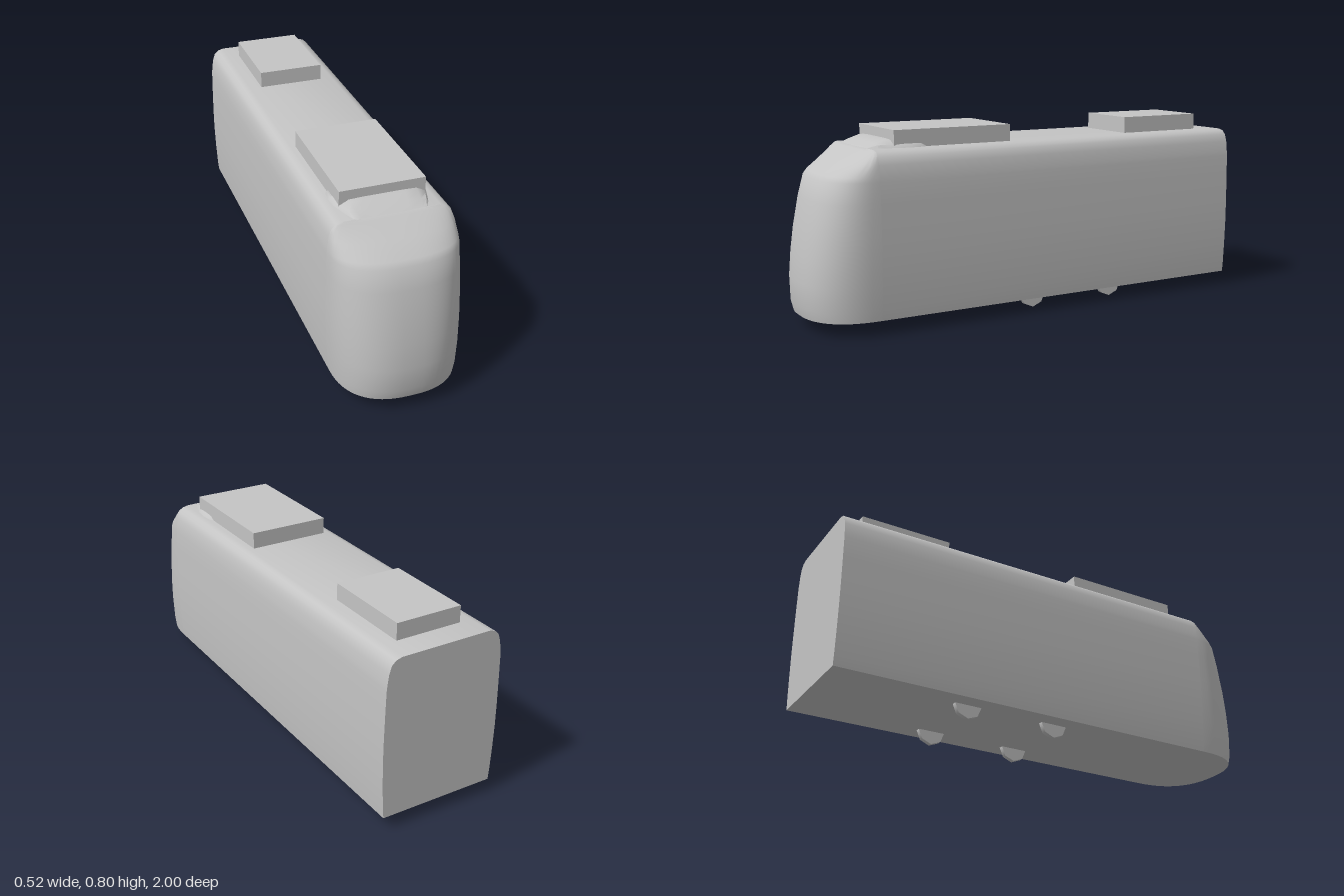
import * as THREE from 'three';
import { toCreasedNormals } from 'three/addons/utils/BufferGeometryUtils.js';

const grey = new THREE.MeshStandardMaterial({ color: 0xc4c4c4 });
grey.name = 'bodyGrey';

const FLOOR = 0.057, ROOF = 0.725, SEAM = 0.735;

// Half cross-section of the body: [half width, height]
const SECTION = [
  [0.248, FLOOR], [0.252, 0.1], [0.257, 0.2], [0.26, 0.3], [0.26, 0.4], [0.258, 0.52],
  [0.256, 0.605], [0.254, 0.625], [0.248, 0.67], [0.237, 0.702], [0.22, 0.718], [0.195, ROOF],
];
// Foremost z of the nose at each of those heights
const NOSE_Z = [0.987, 0.998, 1, 0.99, 0.975, 0.949, 0.923, 0.905, 0.832, 0.779, 0.752, 0.74];

function add(group, name, geometry) {
  const mesh = new THREE.Mesh(geometry, grey);
  mesh.name = name;
  group.add(mesh);
  return mesh;
}

// Skin over rows of equally many points, running left to right
function loft(rows, crease) {
  const n = rows[0].length, index = [];
  for (let i = 0; i < rows.length - 1; i++) {
    for (let j = 0; j < n - 1; j++) {
      const a = i * n + j, b = a + n;
      index.push(a, a + 1, b + 1, a, b + 1, b);
    }
  }
  const geo = new THREE.BufferGeometry();
  geo.setAttribute('position', new THREE.Float32BufferAttribute(rows.flat(2), 3));
  geo.setIndex(index);
  return toCreasedNormals(geo, crease);
}

// Long straight car body
function bodyGeometry() {
  const right = SECTION.map(([x, y]) => new THREE.Vector2(x, y));
  const left = SECTION.map(([x, y]) => new THREE.Vector2(-x, y)).reverse();
  const geo = new THREE.ExtrudeGeometry(new THREE.Shape([...right, ...left]), {
    depth: 1 + SEAM, bevelEnabled: false,
  });
  geo.translate(0, 0, -1);
  return toCreasedNormals(geo, 0.7);
}

// Rounded nose: a superellipse plan at each height, closed below and above
function noseGeometry() {
  const steps = 32, power = 2 / 2.5;
  const rows = SECTION.map(([w, y], i) => {
    const row = [];
    for (let j = 0; j <= steps; j++) {
      const t = (Math.PI * j) / steps, c = Math.cos(t);
      const x = -Math.sign(c) * w * Math.abs(c) ** power;
      const z = SEAM + (NOSE_Z[i] - SEAM) * Math.max(0, Math.sin(t)) ** power;
      row.push([x, y, z]);
    }
    return row;
  });
  const flatten = (row) => row.map(([x, y]) => [x, y, SEAM]);
  return loft([flatten(rows[0]), ...rows, flatten(rows[rows.length - 1])], 0.6);
}

// Low hump that carries the windscreen slope onto the roof
function fairingGeometry() {
  const stations = [ // z, half base, half top, top height
    [0.74, 0.15, 0.12, 0.725], [0.7, 0.165, 0.13, 0.744], [0.66, 0.178, 0.135, 0.756],
    [0.62, 0.19, 0.138, 0.758], [0.57, 0.195, 0.14, 0.754], [0.52, 0.19, 0.135, 0.742],
    [0.49, 0.175, 0.12, 0.72],
  ];
  const rows = stations.map(([z, b, t, top]) => {
    const shoulder = Math.min(top, 0.737);
    const half = [[b, 0.72], [b - 0.012, shoulder], [t, top - 0.002], [t * 0.6, top]];
    return [
      ...half.map(([x, y]) => [-x, y, z]),
      ...half.reverse().map(([x, y]) => [x, y, z]),
    ];
  });
  return loft(rows, 0.7);
}

export function createModel() {
  const tram = new THREE.Group();
  tram.name = 'tramCar';

  add(tram, 'body', bodyGeometry());
  add(tram, 'nose', noseGeometry());
  add(tram, 'roofFairing', fairingGeometry());

  // Roof equipment boxes
  for (const [name, width, z0, z1] of [
    ['frontRoofBox', 0.35, 0.115, 0.64], ['rearRoofBox', 0.285, -0.89, -0.495],
  ]) {
    add(tram, name, new THREE.BoxGeometry(width, 0.075, z1 - z0))
      .position.set(0, 0.7575, (z0 + z1) / 2);
  }

  // Thin wheels, half sunk into the floor
  const wheel = new THREE.CylinderGeometry(0.06, 0.06, 0.021, 8).rotateZ(Math.PI / 2);
  for (const side of [-1, 1]) {
    for (const z of [0, -0.4]) {
      add(tram, (side > 0 ? 'left' : 'right') + (z ? 'Rear' : 'Front') + 'Wheel', wheel)
        .position.set(side * 0.1645, 0.06, z);
    }
  }
  return tram;
}
